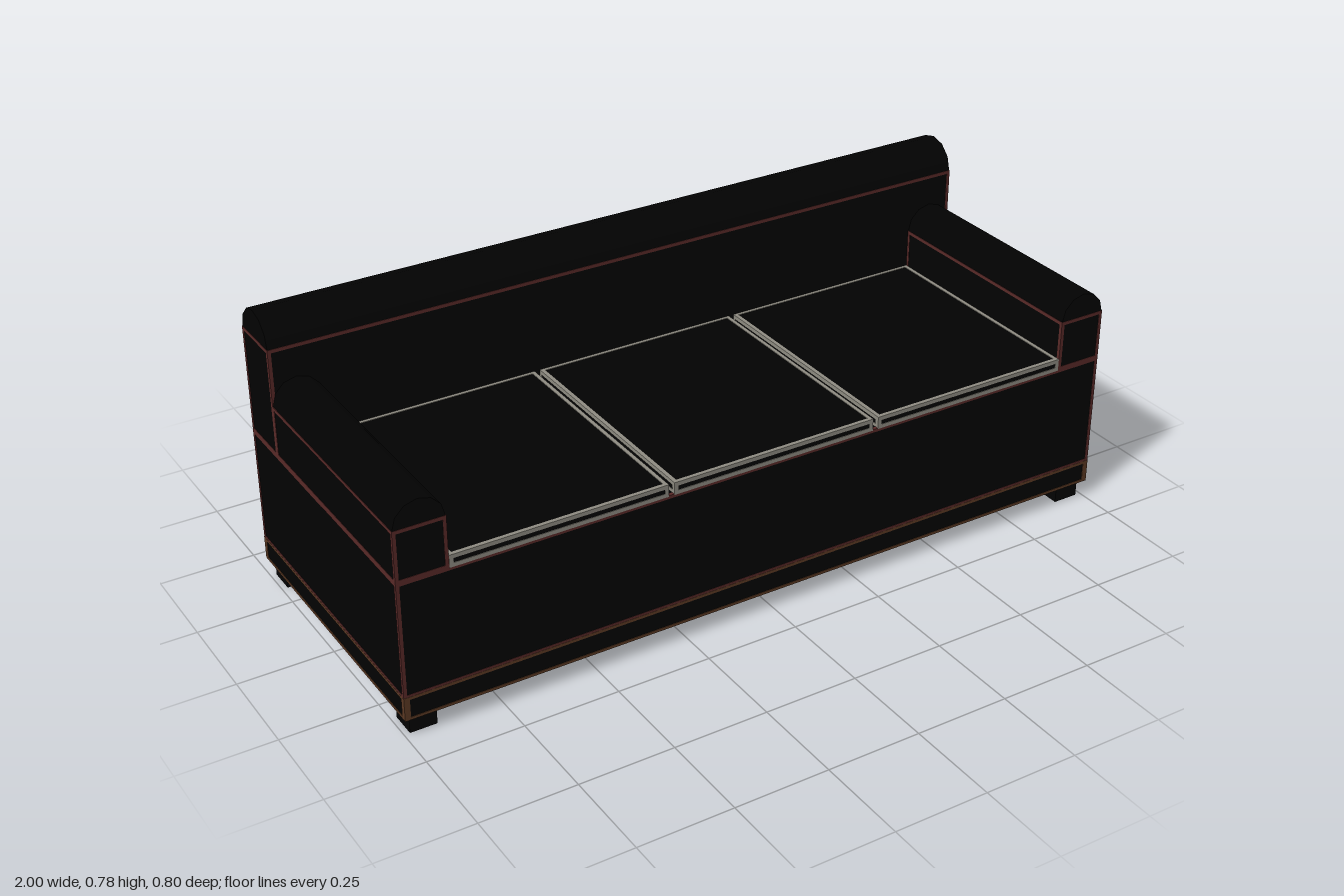
import * as THREE from 'three';

const paint = (color) => new THREE.MeshStandardMaterial({ color });

export function createModel() {
  const sofa = new THREE.Group();
  sofa.name = 'sofa';
  const leather = paint(0x020202);
  const redTrim = paint(0x5a2a28);
  const brownTrim = paint(0x5c3a24);
  const greyTrim = paint(0x8f8c82);

  // Box given by its min and max corners
  function block(name, min, max, material, parent = sofa) {
    const size = max.map((v, i) => v - min[i]);
    const mesh = new THREE.Mesh(new THREE.BoxGeometry(...size), material);
    mesh.position.set(...min.map((v, i) => (v + max[i]) / 2));
    mesh.name = name;
    parent.add(mesh);
  }

  // Box with a thin, almost flush seam along each of its 12 edges
  function panel(name, min, max, trim, width = 0.008, proud = 0.001) {
    const group = new THREE.Group();
    group.name = name;
    sofa.add(group);
    block(name + 'Panel', min, max, leather, group);
    for (let axis = 0; axis < 3; axis++) {
      for (const a of [0, 1]) for (const b of [0, 1]) {
        const lo = [], hi = [];
        lo[axis] = min[axis] - proud;
        hi[axis] = max[axis] + proud;
        [[(axis + 1) % 3, a], [(axis + 2) % 3, b]].forEach(([i, far]) => {
          lo[i] = far ? max[i] - width : min[i] - proud;
          hi[i] = far ? max[i] + proud : min[i] + width;
        });
        block(name + 'Seam', lo, hi, trim, group);
      }
    }
  }

  // Half-round padding lying on top of an arm or the back, axis along z
  function roll(name, radius, length) {
    const geo = new THREE.CylinderGeometry(radius, radius, length, 6, 1, false, -Math.PI / 2, Math.PI);
    geo.rotateX(-Math.PI / 2);
    const mesh = new THREE.Mesh(geo, leather);
    mesh.name = name;
    sofa.add(mesh);
    return mesh;
  }

  // Body standing on a thin skirt that is open underneath
  panel('body', [-1, 0.11, -0.4], [1, 0.42, 0.4], redTrim);
  const board = 0.012;
  const skirt = (name, min, max) => panel(name, min, max, brownTrim, 0.006, 0.0015);
  skirt('frontSkirt', [-1, 0.05, 0.4 - board], [1, 0.11, 0.4]);
  skirt('backSkirt', [-1, 0.05, -0.4], [1, 0.11, -0.4 + board]);
  skirt('leftSkirt', [1 - board, 0.05, -0.4], [1, 0.11, 0.4]);
  skirt('rightSkirt', [-1, 0.05, -0.4], [-1 + board, 0.11, 0.4]);

  // Backrest
  panel('back', [-1, 0.42, -0.4], [1, 0.705, -0.25], redTrim);
  const backRoll = roll('backRoll', 0.075, 2);
  backRoll.rotation.y = Math.PI / 2;
  backRoll.position.set(0, 0.705, -0.325);

  // Arms, and feet reaching up inside the skirt
  for (const [side, s] of [['left', 1], ['right', -1]]) {
    const x0 = s > 0 ? 0.87 : -1;
    panel(side + 'Arm', [x0, 0.42, -0.25], [x0 + 0.13, 0.555, 0.4], redTrim);
    roll(side + 'ArmRoll', 0.065, 0.65).position.set(s * 0.935, 0.555, 0.075);
    for (const [end, z] of [['Front', 0.35], ['Back', -0.35]]) {
      block(side + end + 'Foot', [s * 0.95 - 0.035, 0, z - 0.035], [s * 0.95 + 0.035, 0.11, z + 0.035], leather);
    }
  }

  // Three seat cushions
  ['right', 'middle', 'left'].forEach((place, i) => {
    const x = (i - 1) * 0.584;
    panel(place + 'Cushion', [x - 0.283, 0.42, -0.25], [x + 0.283, 0.45, 0.4], greyTrim, 0.009, 0.0015);
  });

  return sofa;
}
